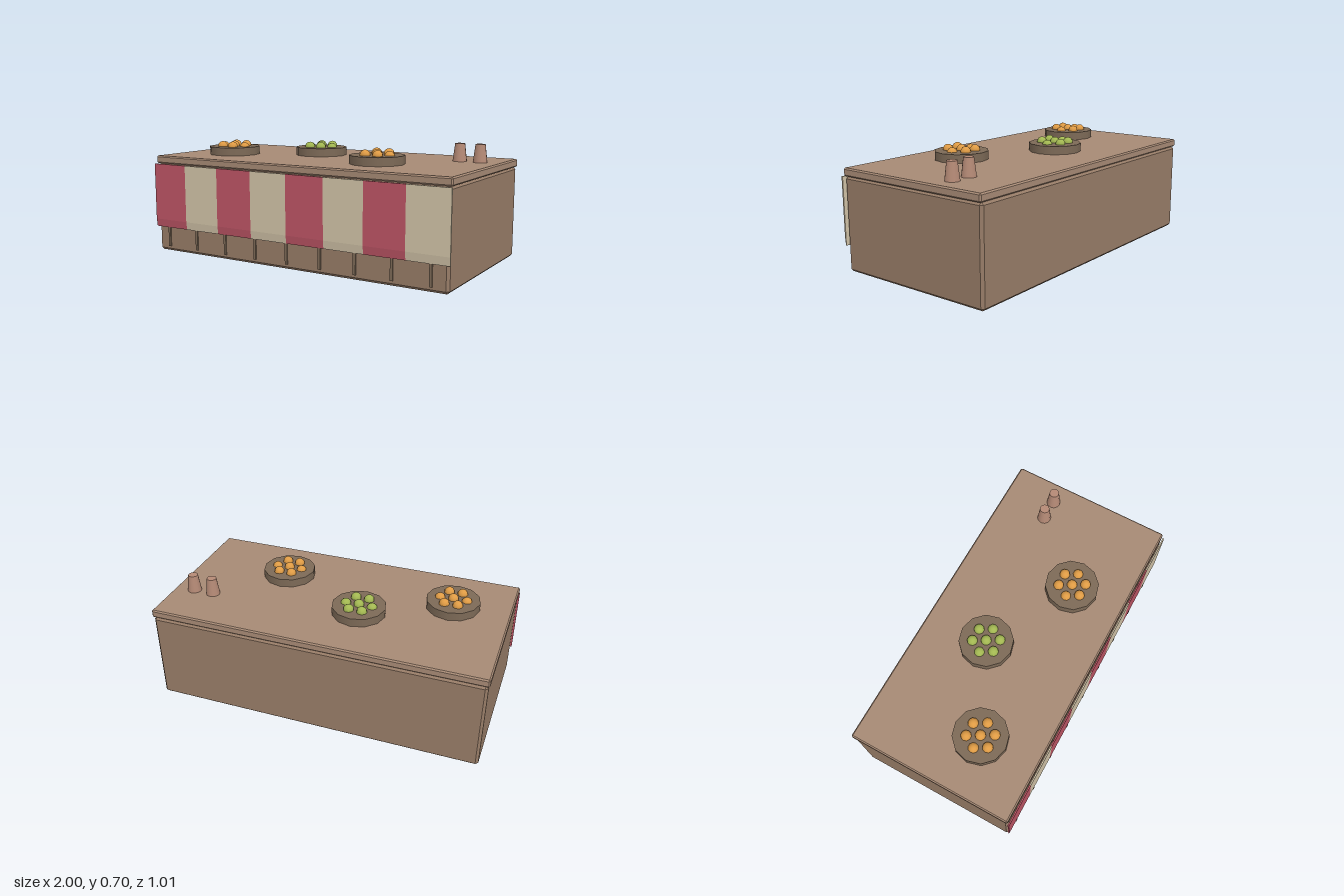
import * as THREE from 'three';
import { ConvexGeometry } from 'three/addons/geometries/ConvexGeometry.js';

const paint = (color, flatShading = false) => new THREE.MeshStandardMaterial({ color, flatShading });

function add(parent, name, geometry, material, x = 0, y = 0, z = 0) {
  const mesh = new THREE.Mesh(geometry, material);
  mesh.name = name;
  mesh.position.set(x, y, z);
  parent.add(mesh);
  return mesh;
}

// Box with every edge cut at 45 degrees
function chamferedBox(w, h, d, c) {
  const points = [];
  for (const sx of [-1, 1]) for (const sy of [-1, 1]) for (const sz of [-1, 1]) {
    const x = w / 2, y = h / 2, z = d / 2;
    points.push(
      new THREE.Vector3(sx * x, sy * (y - c), sz * (z - c)),
      new THREE.Vector3(sx * (x - c), sy * y, sz * (z - c)),
      new THREE.Vector3(sx * (x - c), sy * (y - c), sz * z));
  }
  return new ConvexGeometry(points);
}

export function createModel() {
  const model = new THREE.Group();
  model.name = 'marketCounter';

  const wood = paint(0x977c67);
  const topWood = paint(0xa78a75);
  const trayWood = paint(0x7d6a57);
  const clay = paint(0xb58a76);
  const red = paint(0xbd5565);
  const cream = paint(0xd2c4a8);
  const orange = paint(0xe09c45);
  const green = paint(0xa3b852);

  // Counter body and worktop
  add(model, 'counterBody', chamferedBox(1.98, 0.553, 0.998, 0.015), wood, 0, 0.2765, -0.006);
  add(model, 'worktop', chamferedBox(1.995, 0.048, 0.998, 0.008), topWood, 0, 0.576, -0.006);

  // Upright battens on the front
  for (let i = 0; i < 9; i++) {
    add(model, 'frontBatten', new THREE.BoxGeometry(0.016, 0.5, 0.014), trayWood, -0.9 + i * 0.224, 0.28, 0.493);
  }

  // Striped cloth, its lower hem tapering back
  const profile = new THREE.Shape([
    [-0.498, 0.55], [-0.507, 0.55], [-0.507, 0.2], [-0.501, 0.152], [-0.498, 0.152],
  ].map(([u, v]) => new THREE.Vector2(u, v)));
  const stripe = new THREE.ExtrudeGeometry(profile, { depth: 0.25, bevelEnabled: false });
  stripe.rotateY(Math.PI / 2);
  for (let i = 0; i < 8; i++) {
    add(model, 'clothStripe', stripe, i % 2 ? cream : red, -1 + i * 0.25);
  }

  // Round trays, each with a ring of six fruits around a raised one
  const trayGeometry = new THREE.CylinderGeometry(0.16, 0.16, 0.05, 12);
  const fruitGeometry = new THREE.SphereGeometry(0.031, 10, 8);
  for (const [x, z, material] of [[-0.655, 0.137, orange], [-0.153, -0.111, green], [0.398, 0.163, orange]]) {
    const tray = new THREE.Group();
    tray.name = 'fruitTray';
    tray.position.set(x, 0.6, z);
    model.add(tray);
    add(tray, 'tray', trayGeometry, trayWood, 0, 0.025, 0);
    add(tray, 'fruit', fruitGeometry, material, 0, 0.053, 0);
    for (let i = 0; i < 6; i++) {
      const a = i * Math.PI / 3;
      add(tray, 'fruit', fruitGeometry, material, 0.08 * Math.cos(a), i % 3 ? 0.053 : 0.045, 0.08 * Math.sin(a));
    }
  }

  // Upturned cups
  const cupGeometry = new THREE.CylinderGeometry(0.029, 0.042, 0.105, 12);
  for (const x of [0.747, 0.872]) add(model, 'cup', cupGeometry, clay, x, 0.6525, -0.208);

  return model;
}
